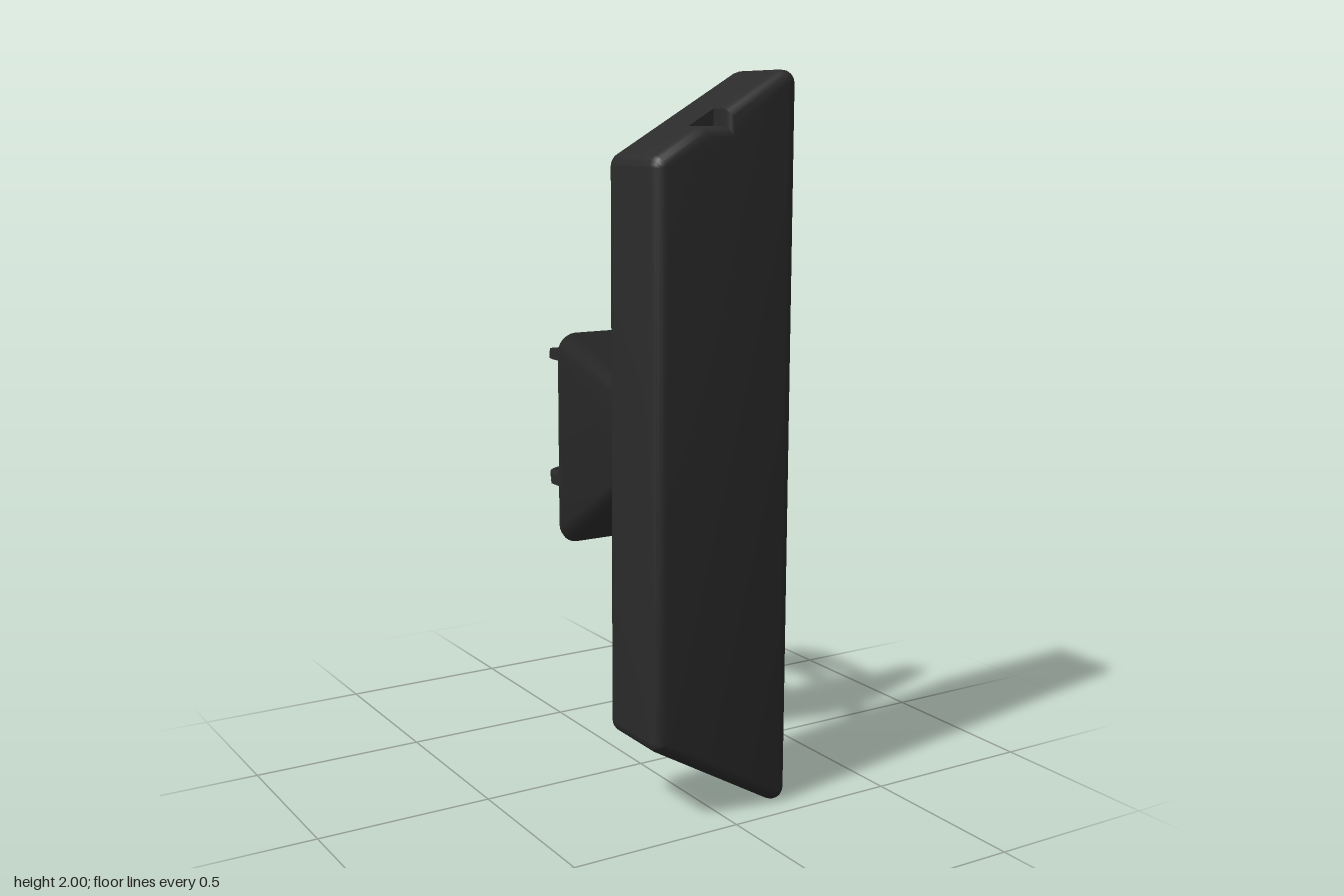
import * as THREE from 'three';
import { toCreasedNormals } from 'three/addons/utils/BufferGeometryUtils.js';

const V2 = (x, y) => new THREE.Vector2(x, y);
const dark = new THREE.MeshStandardMaterial({ color: 0x2b2b2b });
const darkOpen = new THREE.MeshStandardMaterial({ color: 0x2b2b2b, side: THREE.DoubleSide });

function add(parent, name, geometry, material = dark) {
  const mesh = new THREE.Mesh(geometry, material);
  mesh.name = name;
  parent.add(mesh);
  return mesh;
}

// Skin over counter-clockwise rings ({ z, pts }) going towards +z, with end caps
function loft(rings, skip = () => false) {
  const n = rings[0].pts.length, index = [];
  const pos = rings.flatMap(r => r.pts.flatMap(p => [p.x, p.y, r.z]));
  for (let i = 0; i < rings.length - 1; i++) {
    for (let j = 0; j < n; j++) {
      if (skip(i, j)) continue;
      const a = i * n + j, b = i * n + (j + 1) % n;
      index.push(a, b, b + n, a, b + n, a + n);
    }
  }
  const last = (rings.length - 1) * n;
  for (const [a, b, c] of THREE.ShapeUtils.triangulateShape(rings[0].pts, [])) index.push(c, b, a);
  for (const t of THREE.ShapeUtils.triangulateShape(rings.at(-1).pts, [])) index.push(...t.map(k => k + last));
  const g = new THREE.BufferGeometry();
  g.setAttribute('position', new THREE.Float32BufferAttribute(pos, 3));
  g.setIndex(index);
  return toCreasedNormals(g, 0.6);
}

function circle(shape, x, y, r) {
  shape.holes.push(new THREE.Path().absarc(x, y, r, 0, Math.PI * 2, true));
}
function rect(path, x0, y0, x1, y1) {
  return path.moveTo(x0, y0).lineTo(x1, y0).lineTo(x1, y1).lineTo(x0, y1).closePath();
}
function ringOfHoles(shape, x, y, radius, r, count = 8) {
  for (let i = 0; i < count; i++) {
    const a = i * Math.PI * 2 / count;
    circle(shape, x + radius * Math.cos(a), y + radius * Math.sin(a), r);
  }
}
const extrude = (shape, depth) =>
  new THREE.ExtrudeGeometry(shape, { depth, bevelEnabled: false, curveSegments: 16 });
// Plan shape drawn as (x, distance backwards), spanning y0 to y1
const slab = (shape, y0, y1) => extrude(shape, y1 - y0).rotateX(-Math.PI / 2).translate(0, y0, 0);

// Slanted, rounded housing with a stepped notch on its top front edge and recessed side sensors
function makeHousing() {
  const group = new THREE.Group();
  group.name = 'housing';
  const r = 0.035, W = 0.217, zBack = 0.183, zFront = 0.435, zNotch = 0.36, SEG = 5;
  const tan = Math.tan(Math.PI / 6), topY = x => 2.025 - (W - x) * tan;
  const slope = V2(-0.5, 0.866), corners = [];
  const corner = (x, y, a0, a1) => {
    const n1 = V2(Math.cos(a0), Math.sin(a0)), n2 = V2(Math.cos(a1), Math.sin(a1));
    const core = V2(x, y).addScaledVector(n1.clone().add(n2), -r / (1 + n1.dot(n2)));
    for (let i = 0; i <= SEG; i++) {
      const a = a0 + (a1 - a0) * i / SEG;
      corners.push({ core, n: V2(Math.cos(a), Math.sin(a)) });
    }
  };
  const D = Math.PI / 180;
  corner(W, 2 - topY(W), -120 * D, 0);
  corner(W, topY(W), 0, 120 * D);
  const notchAt = corners.length;
  for (const x of [0, -0.037, -0.075]) {
    corners.push({ core: V2(x, topY(x)).addScaledVector(slope, -r), n: slope });
  }
  corner(-W, topY(-W), 120 * D, 180 * D);
  corner(-W, 2 - topY(-W), 180 * D, 240 * D);

  const ring = (z, s, notched) => {
    const pts = corners.map(c => c.core.clone().addScaledVector(c.n, r * Math.max(s, 0.02)));
    if (notched) pts[notchAt + 1].set(pts[notchAt].x, pts[notchAt + 2].y);
    return { z, pts };
  };
  const rings = [];
  for (let k = 0; k <= SEG; k++) {
    const t = k / SEG * Math.PI / 2;
    rings.push(ring(zBack + r * (1 - Math.cos(t)), Math.sin(t), false));
  }
  rings.push(ring(zNotch, 1, false), ring(zNotch, 1, true));
  for (let k = 0; k <= SEG; k++) {
    const t = k / SEG * Math.PI / 2;
    rings.push(ring(zFront - r + r * Math.sin(t), Math.cos(t), true));
  }
  // The flat right-edge strip is left open for the sensor panel
  add(group, 'housingShell', loft(rings, (i, j) => j === SEG && i >= SEG && i < SEG + 3));

  // Sensor panel drawn as (-z, y) and turned to face +x
  const zMid = 0.31, panel = new THREE.Shape();
  rect(panel, -(zFront - r), corners[SEG].core.y, -(zBack + r), corners[SEG + 1].core.y);
  const sensors = [1.1, 0.92, 0.555];
  for (const y of sensors) circle(panel, -zMid, y, 0.08);
  add(group, 'sensorPanel', new THREE.ShapeGeometry(panel, 24).rotateY(Math.PI / 2).translate(W, 0, 0));
  for (const y of sensors) {
    add(group, 'sensorRim', new THREE.CylinderGeometry(0.08, 0.08, 0.015, 48, 1, true)
      .rotateZ(Math.PI / 2).translate(W - 0.0075, y, zMid), darkOpen);
    add(group, 'sensorFace', new THREE.CircleGeometry(0.08, 48)
      .rotateY(Math.PI / 2).translate(W - 0.015, y, zMid));
  }
  return group;
}

// Tapered mount: rounded rectangles lofted from the back to a blunt nose
function makeMount() {
  const ring = (z, w, h, r) => {
    const pts = [];
    [[1, 1], [-1, 1], [-1, -1], [1, -1]].forEach(([sx, sy], q) => {
      for (let i = 0; i <= 6; i++) {
        const a = (q + i / 6) * Math.PI / 2;
        pts.push(V2(sx * (w - r) + r * Math.cos(a), 1 + sy * (h - r) + r * Math.sin(a)));
      }
    });
    return { z, pts };
  };
  return loft([
    ring(-0.072, 0.224, 0.268, 0.045), ring(-0.022, 0.253, 0.292, 0.05),
    ring(-0.012, 0.254, 0.296, 0.05), ring(0.088, 0.085, 0.118, 0.035),
    ring(0.102, 0.06, 0.098, 0.03), ring(0.108, 0.035, 0.075, 0.02),
  ]);
}

// One perforated bracket arm, modelled at the top
function makeArm() {
  const arm = new THREE.Group();
  arm.name = 'bracketArm';
  const c = 0.337, drill = (shape, minD, maxD) => {
    circle(shape, 0, c, 0.011);
    for (let i = 0; i < 8; i++) {
      const a = i * Math.PI / 4, d = c + 0.08 * Math.sin(a);
      if (d > minD && d < maxD) circle(shape, 0.08 * Math.cos(a), d, 0.008);
    }
  };
  const outer = rect(new THREE.Shape(), -0.1, 0.074, 0.1, 0.357);
  drill(outer, 0, 0.345);
  for (const x of [-0.058, 0.058]) {
    circle(outer, x, 0.184, 0.006);
    circle(outer, x, c, 0.007);
  }
  circle(outer, 0, 0.28, 0.007);
  outer.holes.push(rect(new THREE.Path(), -0.058, 0.125, 0.058, 0.163));
  outer.holes.push(rect(new THREE.Path(), -0.058, 0.205, 0.058, 0.235));
  add(arm, 'armPlate', slab(outer, 1.192, 1.206));

  const inner = new THREE.Shape().moveTo(-0.1, 0.237).lineTo(0.1, 0.237).lineTo(0.1, 0.335);
  inner.absarc(0, 0.335, 0.1, 0, Math.PI, false).closePath();
  drill(inner, 0, 1);
  add(arm, 'hornPlate', slab(inner, 1.174, 1.192));

  const boss = new THREE.Shape().absarc(0, c, 0.037, 0, Math.PI * 2, false);
  circle(boss, 0, c, 0.011);
  add(arm, 'hornBoss', slab(boss, 1.168, 1.208));
  return arm;
}

function makeBracket() {
  const bracket = new THREE.Group();
  bracket.name = 'bracket';
  const plate = rect(new THREE.Shape(), -0.104, 0.8, 0.104, 1.2);
  circle(plate, 0, 1, 0.035);
  ringOfHoles(plate, 0, 1, 0.068, 0.009);
  for (const s of [-1, 1]) {
    circle(plate, 0, 1 + s * 0.125, 0.018);
    ringOfHoles(plate, 0, 1 + s * 0.125, 0.036, 0.007, 6);
    for (const x of [-0.075, 0.075]) circle(plate, x, 1 + s * 0.14, 0.01);
    plate.holes.push(rect(new THREE.Path(), -0.06, 1 + s * 0.176 - 0.009, 0.06, 1 + s * 0.176 + 0.009));
  }
  add(bracket, 'backPlate', extrude(plate, 0.014).translate(0, 0, -0.087));

  // Bent side flanges
  const flange = new THREE.Shape().moveTo(0.1, 0.073).lineTo(0.105, 0.073);
  flange.quadraticCurveTo(0.12, 0.073, 0.12, 0.09).lineTo(0.12, 0.125).lineTo(0.107, 0.125);
  flange.lineTo(0.107, 0.087).lineTo(0.1, 0.087).closePath();
  for (const s of [1, -1]) {
    add(bracket, 'sideFlange', slab(flange, 0.82, 1.185)).scale.x = s;
    const arm = makeArm();
    arm.scale.y = s;
    arm.position.y = s > 0 ? 0 : 2;
    bracket.add(arm);
  }
  return bracket;
}

export function createModel() {
  const model = new THREE.Group();
  model.name = 'sensorHead';
  model.add(makeHousing());
  add(model, 'neck', new THREE.CylinderGeometry(0.028, 0.028, 0.1, 32).rotateX(Math.PI / 2).translate(0, 1, 0.145));
  add(model, 'mount', makeMount());
  model.add(makeBracket());
  return model;
}
